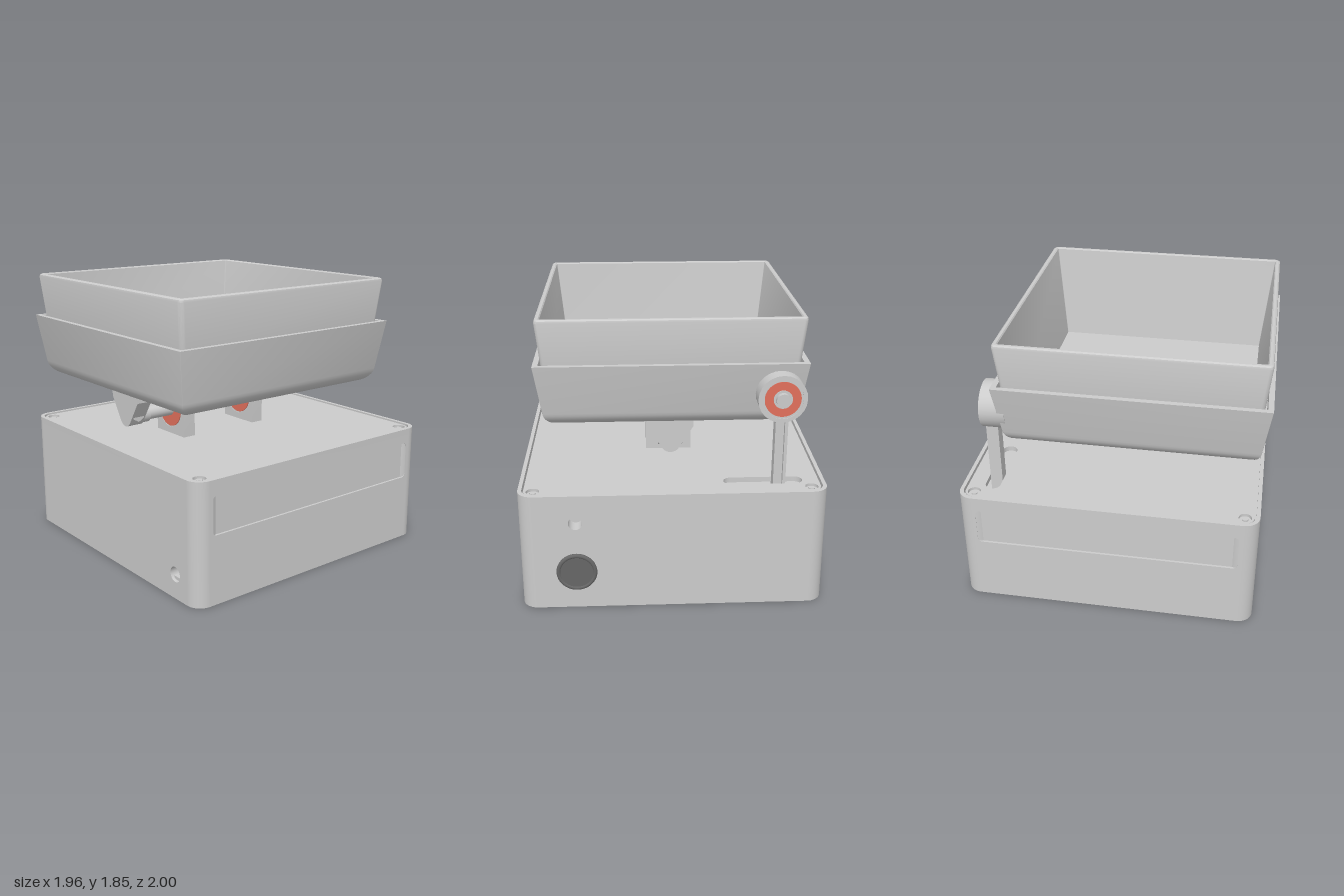
import * as THREE from 'three';
import { toCreasedNormals } from 'three/addons/utils/BufferGeometryUtils.js';

const grey = new THREE.MeshStandardMaterial({ color: 0xcccccc });
const red = new THREE.MeshStandardMaterial({ color: 0xe2705c });
const dark = new THREE.MeshStandardMaterial({ color: 0x666666 });

function add(parent, name, geo, pos = [0, 0, 0], mat = grey) {
  const mesh = new THREE.Mesh(geo, mat);
  mesh.name = name;
  mesh.position.set(...pos);
  parent.add(mesh);
  return mesh;
}

const box = (w, h, d) => new THREE.BoxGeometry(w, h, d);
const cylY = (r, h, n = 32) => new THREE.CylinderGeometry(r, r, h, n);
const cylZ = (r, d, n = 32) => cylY(r, d, n).rotateX(Math.PI / 2);

// Rounded rectangle, centred on (cx, cy)
function roundRect(w, h, r, cx = 0, cy = 0, Type = THREE.Shape) {
  const s = new Type(), a = w / 2 - r, b = h / 2 - r;
  s.absarc(cx + a, cy + b, r, 0, Math.PI / 2);
  s.absarc(cx - a, cy + b, r, Math.PI / 2, Math.PI);
  s.absarc(cx - a, cy - b, r, Math.PI, Math.PI * 1.5);
  s.absarc(cx + a, cy - b, r, Math.PI * 1.5, Math.PI * 2);
  s.closePath();
  return s;
}

const circle = (x, y, r) => new THREE.Path().absarc(x, y, r, 0, Math.PI * 2);

function extrude(shape, depth, holes = []) {
  shape.holes.push(...holes);
  const geo = new THREE.ExtrudeGeometry(shape, { depth, bevelEnabled: false, curveSegments: 12 });
  return toCreasedNormals(geo, 0.5);
}

function rect(x0, y0, x1, y1) {
  return new THREE.Shape([[x0, y0], [x1, y0], [x1, y1], [x0, y1]].map(p => new THREE.Vector2(...p)));
}

// Loft of rounded squares; each profile entry is [half width, y, corner radius]
function squareLoft(profile) {
  const n = 6, ring = 4 * (n + 1), pos = [], idx = [];
  for (const [half, y, r] of profile) {
    for (let c = 0; c < 4; c++) {
      for (let i = 0; i <= n; i++) {
        const a = (c + i / n) * Math.PI / 2, m = (c + 0.5) * Math.PI / 2;
        pos.push(Math.sign(Math.cos(m)) * (half - r) + Math.cos(a) * r, y,
          -Math.sign(Math.sin(m)) * (half - r) - Math.sin(a) * r);
      }
    }
  }
  for (let j = 0; j < profile.length - 1; j++) {
    for (let i = 0; i < ring; i++) {
      const a = j * ring + i, b = j * ring + (i + 1) % ring;
      idx.push(a, b, b + ring, a, b + ring, a + ring);
    }
  }
  const geo = new THREE.BufferGeometry();
  geo.setAttribute('position', new THREE.Float32BufferAttribute(pos, 3));
  geo.setIndex(idx);
  return toCreasedNormals(geo, 0.5);
}

function makeCase() {
  const g = new THREE.Group();
  g.name = 'baseCase';
  add(g, 'caseCore', box(1.93, 0.7, 1.76), [0, 0.35, 0]);
  const wall = () => rect(-0.88, 0, 0.88, 0.76);
  add(g, 'frontWall', extrude(wall(), 0.1, [circle(0.76, 0.16, 0.05)]), [0, 0, 0.88]);
  add(g, 'frontSocketLedge', box(0.09, 0.02, 0.06), [0.76, 0.125, 0.93]);
  add(g, 'backWall', extrude(wall(), 0.1, [circle(0.62, 0.61, 0.045)]), [0, 0, -0.98]);
  // Side walls with a shallow label recess
  for (const x of [0.965, -0.98]) {
    const recess = roundRect(1.72, 0.25, 0.03, 0, 0.575, THREE.Path);
    add(g, 'sideWall', extrude(wall(), 0.015, [recess]).rotateY(Math.PI / 2), [x, 0, 0]);
  }
  // Rim and inset lid with a slot and screw wells
  const rim = extrude(roundRect(1.96, 1.96, 0.1), 0.04, [roundRect(1.91, 1.91, 0.08, 0, 0, THREE.Path)]);
  add(g, 'rim', rim.rotateX(-Math.PI / 2), [0, 0.76, 0]);
  const holes = [roundRect(0.51, 0.1, 0.0499, -0.585, 0.785, THREE.Path)];
  for (const x of [-0.885, 0.885]) {
    for (const z of [-0.885, 0.885]) {
      holes.push(circle(x, -z, 0.042));
      add(g, 'corner', cylY(0.1, 0.76, 48), [Math.sign(x) * 0.88, 0.38, Math.sign(z) * 0.88]);
      add(g, 'screwHead', cylY(0.039, 0.02, 24), [x, 0.765, z]);
      add(g, 'screwCentre', cylY(0.02, 0.03, 16), [x, 0.77, z]);
    }
  }
  const lid = extrude(roundRect(1.89, 1.89, 0.07), 0.035, holes);
  add(g, 'lid', lid.rotateX(-Math.PI / 2), [0, 0.757, 0]);
  // Round push button on the back
  add(g, 'buttonBezel', new THREE.TorusGeometry(0.117, 0.014, 12, 48), [0.62, 0.265, -0.986], dark);
  add(g, 'button', cylZ(0.115, 0.03, 48), [0.62, 0.265, -0.979], dark);
  return g;
}

function makeTray() {
  const g = new THREE.Group();
  g.name = 'tray';
  g.position.z = 0.135;
  // Outer holder with a rounded bottom edge
  const outer = [[0.005, 1.14, 0.004], [0.71, 1.14, 0.004]];
  for (let i = 1; i <= 8; i++) {
    const a = i / 8 * 1.43;
    outer.push([0.71 + 0.108 * Math.sin(a), 1.248 - 0.108 * Math.cos(a), 0.004]);
  }
  outer.push([0.865, 1.56, 0.004], [0.83, 1.56, 0.004], [0.825, 1.5, 0.004], [0.79, 1.5, 0.004]);
  add(g, 'trayHolder', squareLoft(outer));
  // Open bin with a softened rim
  add(g, 'bin', squareLoft([
    [0.81, 1.49, 0.03], [0.843, 1.83, 0.03], [0.84, 1.843, 0.03], [0.83, 1.85, 0.025],
    [0.815, 1.85, 0.012], [0.808, 1.843, 0.006], [0.74, 1.19, 0.004], [0.005, 1.19, 0.004],
  ]));
  return g;
}

function makeHinge() {
  const g = new THREE.Group();
  g.name = 'hinge';
  const axis = 0.965;
  add(g, 'axle', cylZ(0.045, 1.3), [0, axis, 0.13]);
  for (const z of [0.69, -0.42]) add(g, 'collar', cylZ(0.056, 0.06), [0, axis, z]);
  // Tapered hangers under the tray, with hexagonal nut seats
  for (const z of [0.772, 0.14, -0.505]) {
    const s = new THREE.Shape();
    s.moveTo(-0.15, 1.15);
    s.lineTo(-0.15, 1.085);
    s.lineTo(-0.056, 0.936);
    s.absarc(0, axis, 0.063, Math.PI + 0.48, Math.PI * 2 - 0.48, false);
    s.lineTo(0.15, 1.085);
    s.lineTo(0.15, 1.15);
    add(g, 'hanger', extrude(s, 0.106), [0, 0, z - 0.053]);
    const nut = new THREE.CylinderGeometry(0.045, 0.045, 0.16, 6).rotateZ(Math.PI / 2).rotateX(Math.PI / 2);
    add(g, 'nutSeat', toCreasedNormals(nut, 0.5), [0, 0.985, z]);
  }
  // Bearing blocks on the lid
  for (const z of [0.415, -0.19]) {
    const s = new THREE.Shape();
    s.moveTo(-0.155, 0.77);
    s.lineTo(0.155, 0.77);
    s.lineTo(0.155, axis);
    s.absarc(0, axis, 0.155, 0, Math.PI, false);
    s.lineTo(-0.155, 0.77);
    add(g, 'bearingBlock', extrude(s, 0.092, [circle(0, axis, 0.13)]), [0, 0, z - 0.046]);
    add(g, 'bearingRace', cylZ(0.132, 0.088, 48), [0, axis, z]);
    add(g, 'bearingSeal', cylZ(0.12, 0.1, 48), [0, axis, z], red);
  }
  return g;
}

function makeRearArm() {
  const g = new THREE.Group();
  g.name = 'rearArm';
  g.position.set(-0.685, 0, 0);
  // Post with a channel along its rear face
  add(g, 'postWeb', box(0.08, 0.53, 0.05), [0, 0.965, -0.765]);
  for (const x of [-0.03, 0.03]) add(g, 'postRib', box(0.02, 0.53, 0.04), [x, 0.965, -0.8]);
  // Bearing housing
  const y = 1.36;
  add(g, 'housing', extrude(new THREE.Shape().absarc(0, 0, 0.155, 0, Math.PI * 2), 0.165,
    [circle(0, 0, 0.13)]), [0, y, -0.822]);
  add(g, 'race', cylZ(0.132, 0.15, 48), [0, y, -0.742]);
  add(g, 'seal', cylZ(0.115, 0.15, 48), [0, y, -0.746], red);
  add(g, 'innerRace', cylZ(0.06, 0.15), [0, y, -0.75]);
  add(g, 'bolt', cylZ(0.045, 0.15), [0, y, -0.78]);
  return g;
}

export function createModel() {
  const model = new THREE.Group();
  model.name = 'weighingTray';
  model.add(makeCase(), makeTray(), makeHinge(), makeRearArm());
  return model;
}
